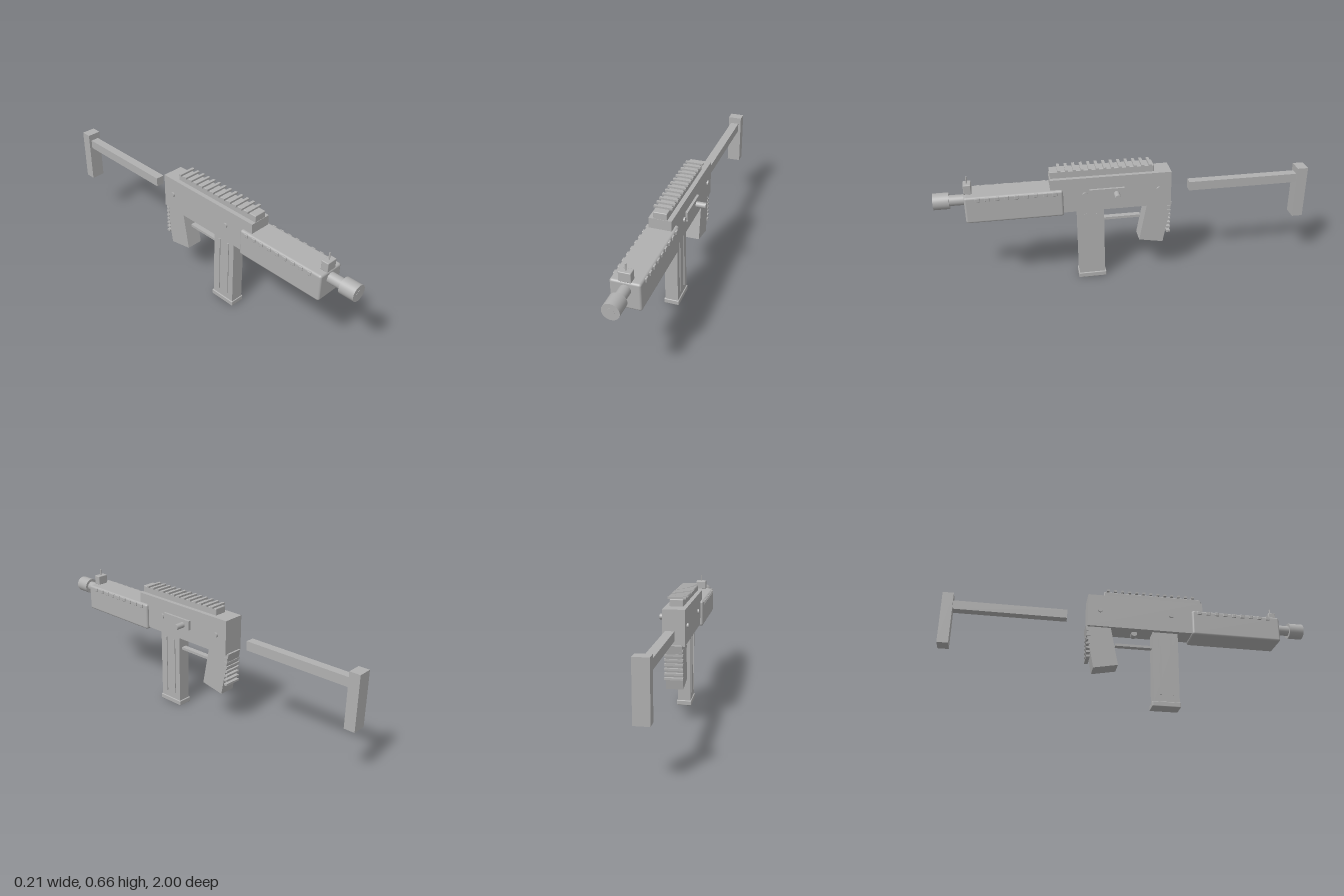
import * as THREE from 'three';
import { RoundedBoxGeometry } from 'three/addons/geometries/RoundedBoxGeometry.js';

export function createModel() {
  const model = new THREE.Group();
  const grey = new THREE.MeshStandardMaterial({ color: 0xb0b0b0 });
  grey.name = 'grey';
  const CX = -0.024; // centre plane of the body

  function add(name, geometry, x, y, z, parent = model) {
    const mesh = new THREE.Mesh(geometry, grey);
    mesh.name = name;
    mesh.position.set(x, y, z);
    parent.add(mesh);
    return mesh;
  }

  // box given by its width and its y and z ranges, optionally with rounded edges
  function box(name, w, y0, y1, z0, z1, x = CX, round = 0) {
    const h = y1 - y0, d = z1 - z0;
    const g = round ? new RoundedBoxGeometry(w, h, d, 3, round) : new THREE.BoxGeometry(w, h, d);
    return add(name, g, x, (y0 + y1) / 2, (z0 + z1) / 2);
  }

  // cylinder along z
  const rodZ = (name, r, z0, z1, y) =>
    add(name, new THREE.CylinderGeometry(r, r, z1 - z0, 32).rotateX(Math.PI / 2), CX, y, (z0 + z1) / 2);

  // cylinder along x
  const rodX = (name, r, x0, x1, y, z) =>
    add(name, new THREE.CylinderGeometry(r, r, x1 - x0, 24).rotateZ(Math.PI / 2), (x0 + x1) / 2, y, z);

  // receiver with cross pins
  box('receiver', 0.118, 0.428, 0.617, -0.232, 0.405);
  for (const z of [0.227, -0.165]) rodX('crossPin', 0.013, CX - 0.068, CX + 0.068, 0.524, z);

  // side plate and handle
  box('sidePlate', 0.02, 0.5, 0.552, 0.018, 0.205, 0.038);
  rodX('sideHandle', 0.0155, 0.03, 0.101, 0.521, 0.062);

  // top rail with cross slats
  box('topRail', 0.071, 0.612, 0.653, -0.142, 0.403, CX, 0.004);
  for (let i = 0; i < 13; i++) {
    const z = 0.355 - i * 0.0396;
    box('railSlat', 0.096, 0.652, 0.663, z - 0.0075, z + 0.0075);
  }

  // fore-end with side ribs
  box('foreEnd', 0.15, 0.416, 0.562, 0.34, 0.842, CX, 0.012);
  for (let i = 0; i < 9; i++) {
    const z = 0.383 + i * 0.049;
    for (const s of [-1, 1]) {
      box('foreEndRib', 0.02, 0.537, 0.558, z - 0.012, z + 0.012, CX + s * 0.07, 0.003);
    }
  }

  // barrel and muzzle
  rodZ('barrel', 0.028, 0.83, 0.93, 0.52);
  rodZ('muzzle', 0.043, 0.918, 0.999, 0.52);
  rodZ('muzzleDisc', 0.018, 0.99, 1.0, 0.52);

  // front sight
  box('sightBase', 0.061, 0.56, 0.612, 0.802, 0.842, CX, 0.004);
  add('sightPost', new THREE.CylinderGeometry(0.004, 0.004, 0.05, 12), CX, 0.623, 0.822);

  // magazine with side strips and foot
  box('magazine', 0.071, 0.015, 0.43, 0.125, 0.265);
  box('magazineFoot', 0.083, 0, 0.028, 0.118, 0.27, CX, 0.004);
  for (const s of [-1, 1]) {
    for (const z of [0.226, 0.164]) {
      box('magazineStrip', 0.01, 0.065, 0.397, z - 0.006, z + 0.006, CX + s * 0.035);
    }
  }

  // tilted grip and its back ridges
  add('grip', new THREE.BoxGeometry(0.091, 0.245, 0.133), CX, 0.323, -0.153).rotation.x = -0.185;
  for (let i = 0; i < 7; i++) {
    const y = 0.405 - i * 0.025;
    box('gripRidge', 0.098, y - 0.0055, y + 0.0055, -0.235, -0.215);
  }

  // trigger and guard
  rodX('trigger', 0.016, CX - 0.02, CX + 0.02, 0.42, 0.027);
  box('triggerGuard', 0.03, 0.34, 0.354, -0.075, 0.13);

  // rear stock
  box('stockBar', 0.047, 0.48, 0.53, -0.95, -0.34);
  box('buttPlate', 0.077, 0.275, 0.567, -1.0, -0.942);

  return model;
}
